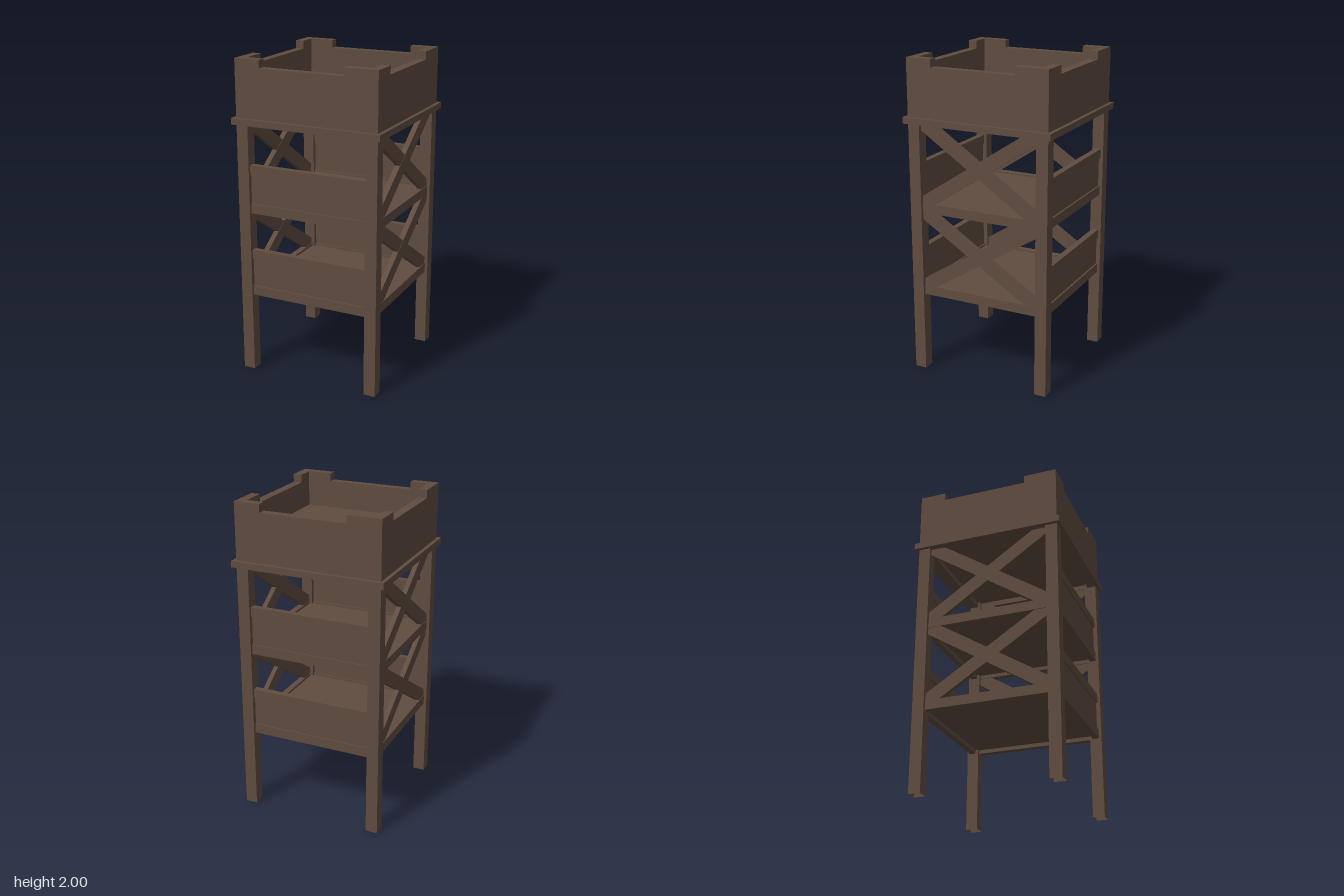
import * as THREE from 'three';

export function createModel() {
  const tower = new THREE.Group();
  tower.name = 'woodenTower';
  const wood = new THREE.MeshStandardMaterial({ color: 0x604c3f, side: THREE.DoubleSide });
  wood.name = 'brown wood';

  const LEG = 0.4225;   // centre line of the legs
  const IN = 0.385;     // inner face of the legs

  function add(parent, name, geometry, x = 0, y = 0, z = 0) {
    const mesh = new THREE.Mesh(geometry, wood);
    mesh.name = name;
    mesh.position.set(x, y, z);
    parent.add(mesh);
    return mesh;
  }

  // Box given by its lower and upper heights
  function block(parent, name, w, y0, y1, d, x = 0, z = 0) {
    return add(parent, name, new THREE.BoxGeometry(w, y1 - y0, d), x, (y0 + y1) / 2, z);
  }

  // Flat outline with a thickness, centred on z = 0
  function plate(points, depth) {
    const shape = new THREE.Shape(points.map(([x, y]) => new THREE.Vector2(x, y)));
    return new THREE.ExtrudeGeometry(shape, { depth, bevelEnabled: false }).translate(0, 0, -depth / 2);
  }

  // Hollow square legs, open at the foot
  const legHeight = 1.65;
  let legGeometry = new THREE.CylinderGeometry(0.075 / Math.SQRT2, 0.075 / Math.SQRT2, legHeight, 4, 1, true);
  legGeometry = legGeometry.rotateY(Math.PI / 4).toNonIndexed();
  legGeometry.computeVertexNormals();
  for (const x of [-LEG, LEG]) {
    for (const z of [-LEG, LEG]) add(tower, 'leg', legGeometry, x, legHeight / 2, z);
  }

  // Two storeys: floor, edge beams, railings and crossed braces
  const storeys = [
    { y: 0.51, beam: 0.57, top: 1.05, panel: 0.75, rail: 0.81 },
    { y: 1.05, beam: 1.11, top: 1.61, panel: 1.295, rail: 1.355 },
  ];
  for (const s of storeys) {
    const storey = new THREE.Group();
    storey.name = 'storey';
    tower.add(storey);
    block(storey, 'floor', 0.82, s.y + 0.025, s.y + 0.045, 0.82);

    for (const side of [-1, 1]) {
      block(storey, 'floorBeam', 2 * IN, s.y, s.beam, 0.04, 0, side * LEG);
      block(storey, 'railingPanel', 2 * IN, s.beam, s.panel, 0.02, 0, side * LEG);
      block(storey, 'handRail', 2 * IN, s.panel, s.rail, 0.04, 0, side * LEG);
      block(storey, 'sideBeam', 0.04, s.y, s.beam, 2 * IN, side * LEG, 0);

      // Braces trimmed flush against the legs and beams
      for (const lean of [-1, 1]) {
        const outline = [
          [IN, s.top], [0.3, s.top], [-IN, s.beam + 0.045],
          [-IN, s.beam], [-0.3, s.beam], [IN, s.top - 0.045],
        ];
        const brace = add(storey, 'crossBrace', plate(outline, lean > 0 ? 0.034 : 0.03), side * LEG, 0, 0);
        brace.rotation.y = lean * Math.PI / 2;
      }
    }
  }

  // Lookout at the top: floor, projecting rim and notched walls
  const lookout = new THREE.Group();
  lookout.name = 'lookout';
  tower.add(lookout);
  block(lookout, 'lookoutFloor', 0.82, 1.64, 1.78, 0.82);
  const wallOutline = [
    [-0.46, 1.645], [0.405, 1.645], [0.405, 2], [0.25, 2],
    [0.25, 1.95], [-0.295, 1.95], [-0.295, 2], [-0.46, 2],
  ];
  for (let i = 0; i < 4; i++) {
    const side = new THREE.Group();
    side.name = 'lookoutSide';
    side.rotation.y = i * Math.PI / 2;
    lookout.add(side);
    add(side, 'notchedWall', plate(wallOutline, 0.055), 0, 0, 0.4325);
    block(side, 'rim', 0.888, 1.605, 1.645, 0.078, -0.039, 0.444);
  }
  return tower;
}
